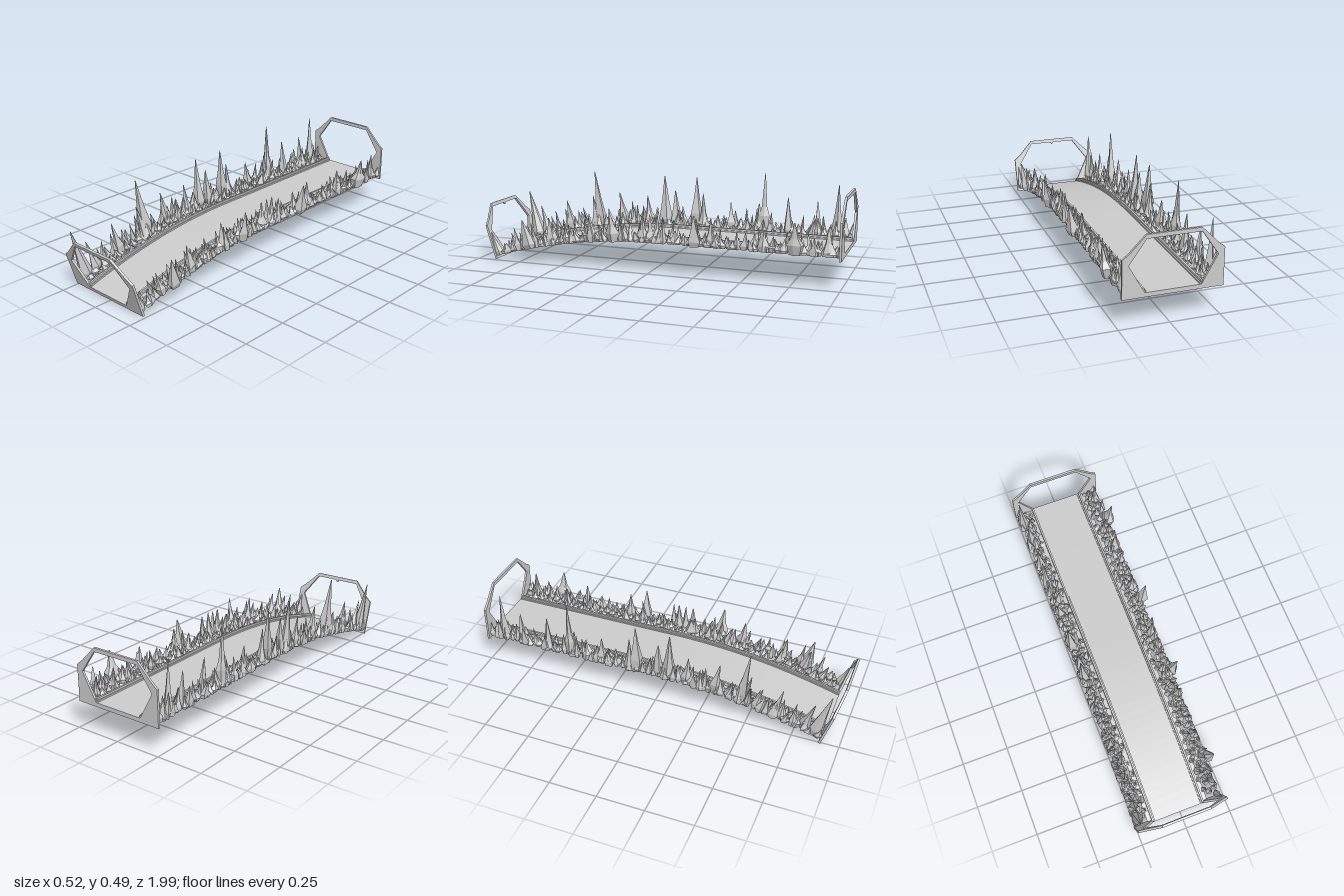
import * as THREE from 'three';

const CENTRE_X = -0.0125, FLAT_Y = 0.17, BEND_START = -0.04, BEND = 0.162;
const FRONT = 0.905, BACK = -0.994;

const material = new THREE.MeshStandardMaterial({ color: 0xcccccc, flatShading: true });

// Height of the track surface, and its downhill angle, at a given z
const trackY = z => FLAT_Y - BEND * Math.max(0, z - BEND_START) ** 2;
const trackAngle = z => Math.atan(2 * BEND * Math.max(0, z - BEND_START));

// Bend a straight geometry (y = height above track) along the track
function bend(geometry) {
  const p = geometry.attributes.position;
  for (let i = 0; i < p.count; i++) {
    const z = p.getZ(i), h = p.getY(i), a = trackAngle(z);
    p.setXYZ(i, p.getX(i) + CENTRE_X, trackY(z) + h * Math.cos(a), z + h * Math.sin(a));
  }
  geometry.computeVertexNormals();
  return geometry;
}

function seeded(seed) {
  let s = seed;
  return () => (s = (s * 16807) % 2147483647) / 2147483647;
}

// Long bar following the track
function bar(name, x, y, width, height) {
  const g = new THREE.BoxGeometry(width, height, FRONT - BACK, 1, 1, 40);
  g.translate(x, y, (FRONT + BACK) / 2);
  const mesh = new THREE.Mesh(bend(g.toNonIndexed()), material);
  mesh.name = name;
  return mesh;
}

// Irregular faceted spike: narrow foot, wide waist, leaning tip
function spike(rand, x, z, rx, rz, height, leanX, leanZ, limit) {
  const n = 4 + Math.floor(rand() * 3);
  const g = new THREE.CylinderGeometry(0.06, 1, 1, n, 3);
  const radii = new Array(n).fill(0).map(() => 0.75 + rand() * 0.45);
  const waist = 0.12 + rand() * 0.2, shoulder = 0.4 + rand() * 0.2, turn = rand() * 6.28;
  const rings = [[0, 0.7], [waist, 1], [shoulder, 0.5], [1, 0.05]];
  const p = g.attributes.position;
  for (let i = 0; i < p.count; i++) {
    const [t, size] = rings[Math.round((p.getY(i) + 0.5) * 3)];
    const px = p.getX(i), pz = p.getZ(i), a = Math.atan2(pz, px);
    const k = ((Math.round(a / (Math.PI * 2) * n * 4) % (n * 4)) + n * 4) % (n * 4);
    const r = Math.hypot(px, pz) < 1e-6 ? 0 : size * radii[Math.floor(k / 4)];
    const lx = x + r * rx * Math.cos(a + turn) + leanX * t;
    const lz = z + r * rz * Math.sin(a + turn) + leanZ * t;
    p.setXYZ(i,
      Math.sign(x) * THREE.MathUtils.clamp(Math.abs(lx), 0.14, limit),
      -0.006 + t * height,
      THREE.MathUtils.clamp(lz, BACK, FRONT));
  }
  return new THREE.Mesh(bend(g.toNonIndexed()), material);
}

// Wall of spikes in three rows, lowest beside the rail
function spikeWall(side) {
  const rand = seeded(side > 0 ? 4217 : 9133);
  const wall = new THREE.Group();
  wall.name = side > 0 ? 'leftSpikeWall' : 'rightSpikeWall';
  const add = (name, ...args) => {
    const mesh = spike(rand, ...args);
    mesh.name = name;
    wall.add(mesh);
  };
  const rows = [
    { x: 0.168, step: 0.052, low: 0.02, high: 0.05, r: 0.018 },
    { x: 0.196, step: 0.036, low: 0.035, high: 0.075, r: 0.022 },
    { x: 0.226, step: 0.029, low: 0.045, high: 0.095, r: 0.023 },
  ];
  for (const row of rows)
    for (let z = BACK + 0.02; z < FRONT - 0.01; z += row.step) {
      const height = row.low + row.high * rand() ** 1.3;
      const x = row.x + (rand() - 0.5) * 0.016;
      add('spike', side * x, z + (rand() - 0.5) * 0.02, row.r,
        row.r * (0.8 + rand() * 0.5), height, side * (rand() - 0.5) * 0.03,
        (rand() - 0.5) * 0.03, 0.2475);
    }
  if (side < 0) {
    // Tall spikes
    for (const [z, h] of [[0.46, 0.325], [-0.5, 0.325], [0.07, 0.28], [-0.9, 0.28], [-0.11, 0.28], [0.86, 0.28]])
      add('tallSpike', -0.218, z, 0.032, 0.036, h, -0.012, 0, 0.2475);
    for (let z = -0.8; z < 0.85; z += 0.16)
      add('mediumSpike', -0.212, z, 0.028, 0.03, 0.15 + rand() * 0.05, -0.01, 0.01, 0.2475);
  } else {
    // Broad spikes overhanging the outer edge
    for (const z of [0.69, 0.2, -0.25, -0.77])
      add('overhangingSpike', 0.238, z, 0.034, 0.042, 0.165, 0.024, 0, 0.2715);
    for (const z of [0.04, 0, -0.04, -0.33, -0.6, -0.93, 0.33, 0.56])
      add('mediumSpike', 0.218, z, 0.028, 0.032, 0.14 + rand() * 0.015, 0, 0, 0.2475);
  }
  return wall;
}

// Mirrored closed outline given its +x half, listed bottom to top
function outline(half, Type) {
  const points = [...half, ...half.map(([x, y]) => [-x, y]).reverse()];
  return new Type(points.map(([x, y]) => new THREE.Vector2(x, y)));
}

// Octagonal gateway at each end
function gateway(name, z) {
  const group = new THREE.Group();
  group.name = name;
  const shape = outline([[0.2475, -0.022], [0.2475, 0.17], [0.213, 0.198], [0.1325, 0.28]], THREE.Shape);
  shape.holes.push(outline([[0.1375, 0], [0.216, 0.14], [0.1325, 0.26]], THREE.Path));
  const depth = 0.012;
  const g = new THREE.ExtrudeGeometry(shape, { depth, bevelEnabled: false });
  g.translate(0, 0, -depth / 2);
  const frame = new THREE.Mesh(g, material);
  frame.name = 'gatewayFrame';
  group.add(frame);
  group.position.set(CENTRE_X, trackY(z), z);
  group.rotation.x = trackAngle(z);
  return group;
}

export function createModel() {
  const model = new THREE.Group();
  model.name = 'spikedTrack';
  model.add(bar('trackFloor', 0, -0.004, 0.34, 0.008));
  for (const side of [-1, 1]) {
    const label = side > 0 ? 'left' : 'right';
    model.add(bar(label + 'RailBase', side * 0.139, 0.004, 0.018, 0.008));
    model.add(bar(label + 'Rail', side * 0.142, 0.009, 0.01, 0.018));
    model.add(spikeWall(side));
  }
  const front = gateway('frontGateway', FRONT);
  // Small peg under the front lintel
  const peg = new THREE.Mesh(new THREE.BoxGeometry(0.009, 0.012, 0.01), material);
  peg.name = 'lintelPeg';
  peg.position.y = 0.256;
  front.add(peg);
  model.add(front, gateway('backGateway', BACK));
  return model;
}
